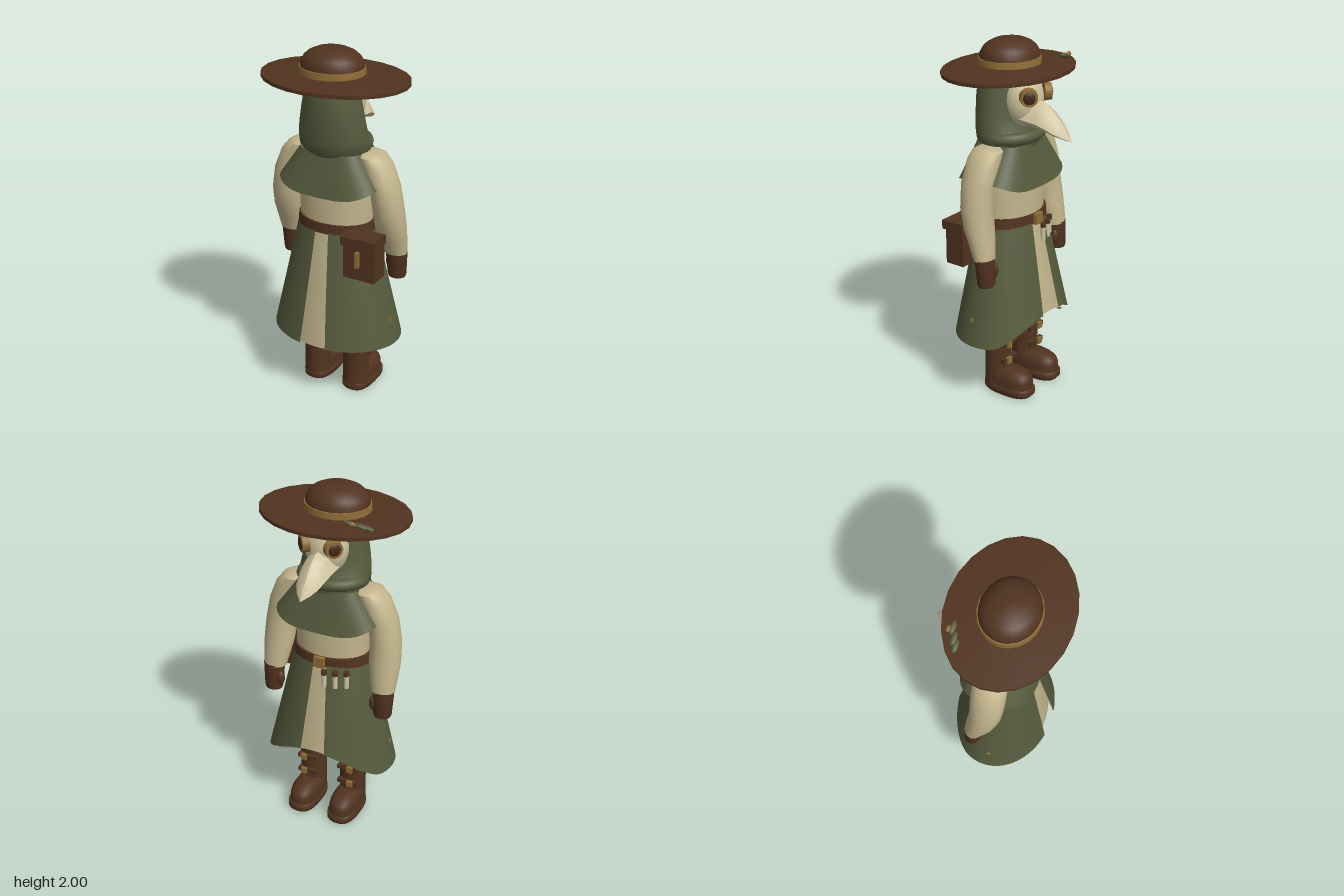
import * as THREE from 'three';
import { toCreasedNormals } from 'three/addons/utils/BufferGeometryUtils.js';

const mat = (name, color, side = THREE.FrontSide) => {
  const m = new THREE.MeshStandardMaterial({ color, side });
  m.name = name;
  return m;
};

// Grid surface: fn(u index, v index) -> [x, y, z]; optionally wraps in u
function sheet(nu, nv, fn, wrap = false, crease = 0.7) {
  const pos = [], idx = [], cols = wrap ? nu : nu + 1;
  for (let j = 0; j <= nv; j++) for (let i = 0; i < cols; i++) pos.push(...fn(i, j));
  for (let j = 0; j < nv; j++) for (let i = 0; i < nu; i++) {
    const a = j * cols + i, b = j * cols + (i + 1) % cols, c = a + cols, d = b + cols;
    idx.push(a, c, b, b, c, d);
  }
  const g = new THREE.BufferGeometry();
  g.setAttribute('position', new THREE.Float32BufferAttribute(pos, 3));
  g.setIndex(idx);
  return toCreasedNormals(g, crease);
}

// Capped elliptical loft from bottom to top; rows are [y, cx, rx, cz, rz]
function loft(rows, p = 1, n = 28) {
  const cap = r => [r[0], r[1], 0, r[3], 0];
  const all = [cap(rows[0]), ...rows, cap(rows[rows.length - 1])];
  const pw = v => Math.sign(v) * Math.pow(Math.abs(v), p);
  return sheet(n, all.length - 1, (i, j) => {
    const a = i / n * Math.PI * 2, [y, cx, rx, cz, rz] = all[j];
    return [cx + rx * pw(Math.cos(a)), y, cz + rz * pw(Math.sin(a))];
  }, true);
}

export function createModel() {
  const root = new THREE.Group();
  const leather = mat('brown leather', 0x51331f);
  const green = mat('coat green', 0x555b3d, THREE.DoubleSide);
  const cloth = mat('tan cloth', 0xc2b48c, THREE.DoubleSide);
  const brass = mat('brass', 0x8f6d36);
  const bone = mat('mask cream', 0xcfc4a0);
  const lens = mat('dark lens', 0x43281a);
  const add = (name, geo, material, x = 0, y = 0, z = 0) => {
    const m = new THREE.Mesh(geo, material);
    m.name = name;
    m.position.set(x, y, z);
    root.add(m);
    return m;
  };
  const box = (w, h, d) => new THREE.BoxGeometry(w, h, d);
  const lathe = (pts, n, zScale) => toCreasedNormals(
    new THREE.LatheGeometry(pts.map(p => new THREE.Vector2(...p)), n).scale(1, 1, zScale), 0.6);

  // Hat
  add('hatBrim', lathe([[0, 1.85], [0.413, 1.836], [0.413, 1.855], [0.18, 1.872], [0, 1.875]], 24, 0.775),
    leather, 0, 0, 0.04);
  add('hatCrown', lathe([[0.176, 1.86], [0.174, 1.9], [0.17, 1.93], [0.155, 1.955], [0.13, 1.977],
    [0.09, 1.995], [0, 2]], 28, 0.89), leather, -0.014, 0, 0.045);
  add('hatBand', lathe([[0.183, 1.865], [0.18, 1.905], [0.165, 1.907]], 20, 0.89), brass, -0.014, 0, 0.045);

  // Sprig on the brim
  [[-0.265, 1.878, -0.14], [-0.235, 1.89, -0.158], [-0.19, 1.905, -0.18]].forEach(p => {
    const leaf = add('hatLeaf', new THREE.SphereGeometry(1, 14, 10), green, ...p);
    leaf.scale.set(0.037, 0.012, 0.016);
    leaf.rotation.z = 0.2;
  });
  add('sprigPin', new THREE.SphereGeometry(0.016, 12, 8), brass, -0.205, 1.912, -0.197).scale.set(1.2, 0.8, 0.7);

  // Hood and rolled scarf
  add('hood', loft([
    [1.44, 0, 0.18, 0.025, 0.15], [1.48, 0, 0.2, 0.035, 0.165], [1.53, 0, 0.197, 0.055, 0.148],
    [1.6, 0, 0.187, 0.067, 0.14], [1.7, 0, 0.168, 0.072, 0.137], [1.78, 0, 0.152, 0.072, 0.133],
    [1.85, 0, 0.135, 0.072, 0.122]]), green);
  const scarf = add('scarf', new THREE.TorusGeometry(0.162, 0.034, 10, 32), green, 0, 1.495, 0.02);
  scarf.rotation.x = Math.PI / 2 + 0.04;
  scarf.scale.set(1.02, 0.88, 1);

  // Shoulder cape, squarish in plan with a hem that lifts at the sides
  const capeN = 40, pw = v => Math.sign(v) * Math.pow(Math.abs(v), 0.6);
  add('cape', sheet(capeN, 6, (i, j) => {
    const a = i / capeN * Math.PI * 2, c = Math.cos(a), s = Math.sin(a), t = 1 - j / 6;
    const hem = 1.235 + 0.06 * c * c;
    return [(0.18 + 0.12 * t) * pw(c), 1.465 + (hem - 1.465) * t, 0.025 + (0.145 + 0.063 * t) * pw(s)];
  }, true, 1), green);

  // Mask face, beak and goggles
  add('maskFace', new THREE.SphereGeometry(1, 28, 20), bone, 0, 1.69, -0.055).scale.set(0.118, 0.15, 0.103);
  const beakRows = [[-0.09, 1.71, 1.56, 0.09], [-0.19, 1.695, 1.55, 0.085], [-0.235, 1.665, 1.54, 0.076],
    [-0.28, 1.62, 1.527, 0.063], [-0.32, 1.572, 1.518, 0.04], [-0.36, 1.514, 1.51, 0.002]];
  add('beak', sheet(8, 5, (i, j) => {
    const [z, top, bot, w] = beakRows[j], h = top - bot;
    const [sx, sy] = [[0, 1], [-0.6, 0.78], [-1, 0.3], [-0.6, 0.08], [0, 0], [0.6, 0.08], [1, 0.3], [0.6, 0.78]][i];
    return [sx * w, bot + sy * h, z];
  }, true, 0.6), bone);
  const yAxis = new THREE.Vector3(0, 1, 0);
  for (const s of [1, -1]) {
    const n = new THREE.Vector3(s * 0.72, 0, -0.69).normalize();
    const eye = new THREE.Group();
    eye.name = 'goggle';
    eye.position.set(s * 0.083, 1.73, -0.148);
    eye.quaternion.setFromUnitVectors(yAxis, n);
    const rim = new THREE.Mesh(new THREE.CylinderGeometry(0.046, 0.05, 0.04, 20), brass);
    rim.name = 'goggleRim';
    const glass = new THREE.Mesh(new THREE.SphereGeometry(0.034, 18, 10), lens);
    glass.name = 'goggleLens';
    glass.position.y = 0.018;
    glass.scale.y = 0.35;
    eye.add(rim, glass);
    root.add(eye);
  }

  // Torso, belt and buckle
  add('torso', loft([[0.99, 0, 0.205, 0.023, 0.153], [1.2, 0, 0.217, 0.025, 0.156],
    [1.36, 0, 0.21, 0.025, 0.145], [1.46, 0, 0.15, 0.025, 0.11]]), cloth);
  add('belt', loft([[1.01, 0, 0.226, 0.022, 0.169], [1.066, 0, 0.22, 0.022, 0.167]], 1, 36), leather);
  add('beltBuckle', box(0.06, 0.06, 0.024), brass, 0, 1.04, -0.153);

  // Vials hanging from the belt
  [-0.035, -0.095, -0.15].forEach(x => {
    const z = 0.022 - 0.172 * Math.sqrt(1 - (x / 0.23) ** 2) - 0.016;
    add('vial', new THREE.CylinderGeometry(0.014, 0.014, 0.08, 12), bone, x, 0.94, z);
    add('vialCork', new THREE.CylinderGeometry(0.016, 0.016, 0.025, 12), leather, x, 0.99, z);
  });

  // Skirts: hem sweeps upward at the beaked side (-z)
  const skirtPoint = (a, t, topScale, hemScale, drop) => {
    const f = Math.max(0, (-Math.sin(a) - 0.35) / 0.65);
    const y = 1.03 + (0.36 - drop + 0.15 * Math.pow(f, 1.5) - 1.03) * t;
    const k = (1.03 - y) / 0.67, s = topScale + (hemScale - topScale) * k;
    return [(0.22 + 0.158 * k) * s * Math.cos(a), y, 0.022 - 0.01 * k + (0.166 + 0.127 * k) * s * Math.sin(a)];
  };
  for (const [name, m, scale] of [['coatPanel', green, 1], ['coatLining', cloth, 0.983]])
    for (const start of [-Math.PI / 2, Math.PI / 2])
      add(name, sheet(32, 8, (i, j) => {
        const t = 1 - j / 8, slit = 0.178 + 0.036 * t;
        return skirtPoint(start + slit + (Math.PI - 2 * slit) * i / 32, t, scale, scale, 0);
      }, false, 1), m);
  add('underSkirt', sheet(64, 8, (i, j) =>
    skirtPoint(i / 64 * Math.PI * 2, 1 - j / 8, 0.965, 0.87, 0.017), true, 1), cloth);

  for (const s of [1, -1]) {
    // Sleeve, glove and thumb
    add('sleeve', loft([
      [0.885, 0.331, 0.066, -0.042, 0.054], [0.97, 0.325, 0.079, -0.022, 0.066], [1.05, 0.32, 0.088, 0, 0.079],
      [1.16, 0.314, 0.087, 0.02, 0.087], [1.29, 0.295, 0.081, 0.025, 0.093], [1.4, 0.247, 0.085, 0.022, 0.093],
      [1.45, 0.215, 0.076, 0.02, 0.086], [1.466, 0.205, 0.06, 0.02, 0.06]
    ].map(([y, cx, ...r]) => [y, s * cx, ...r])), cloth);
    add('glove', loft([[0.735, 0.336, 0.048, -0.055, 0.042], [0.75, 0.336, 0.053, -0.055, 0.046],
      [0.893, 0.335, 0.062, -0.046, 0.051]].map(([y, cx, ...r]) => [y, s * cx, ...r])), leather);
    add('thumb', new THREE.SphereGeometry(1, 14, 10), leather, s * 0.285, 0.81, -0.068).scale.set(0.022, 0.045, 0.025);

    // Boot with sole, straps and buckles
    const x = s * 0.127;
    add('bootShaft', loft([[0.04, x, 0.078, 0.025, 0.075], [0.15, x, 0.075, 0.025, 0.073],
      [0.6, x, 0.08, 0.025, 0.076]]), leather);
    add('bootFoot', loft([[0.04, x, 0.08, -0.05, 0.148], [0.09, x, 0.08, -0.05, 0.15],
      [0.12, x, 0.073, -0.047, 0.142], [0.14, x, 0.056, -0.04, 0.12], [0.148, x, 0.03, -0.03, 0.09]], 0.8), leather);
    add('bootSole', loft([[0, x, 0.08, -0.055, 0.145], [0.012, x, 0.088, -0.055, 0.155],
      [0.042, x, 0.088, -0.055, 0.155], [0.05, x, 0.082, -0.055, 0.15]], 0.75), leather);
    for (const y of [0.2, 0.3]) {
      add('bootStrap', box(0.12, 0.026, 0.025), leather, x, y, -0.05);
      add('bootBuckle', box(0.034, 0.036, 0.018), brass, x + s * 0.02, y, -0.066);
    }

    // Stud on the coat side
    add('coatStud', box(0.012, 0.02, 0.02), brass, s * 0.345, 0.5, 0.04);
  }

  // Satchel
  add('satchelBody', box(0.19, 0.24, 0.115), leather, 0.242, 0.92, 0.158);
  add('satchelFlap', box(0.204, 0.05, 0.135), leather, 0.242, 1.022, 0.168);
  add('satchelClasp', box(0.02, 0.09, 0.026), brass, 0.24, 0.925, 0.228);

  return root;
}
